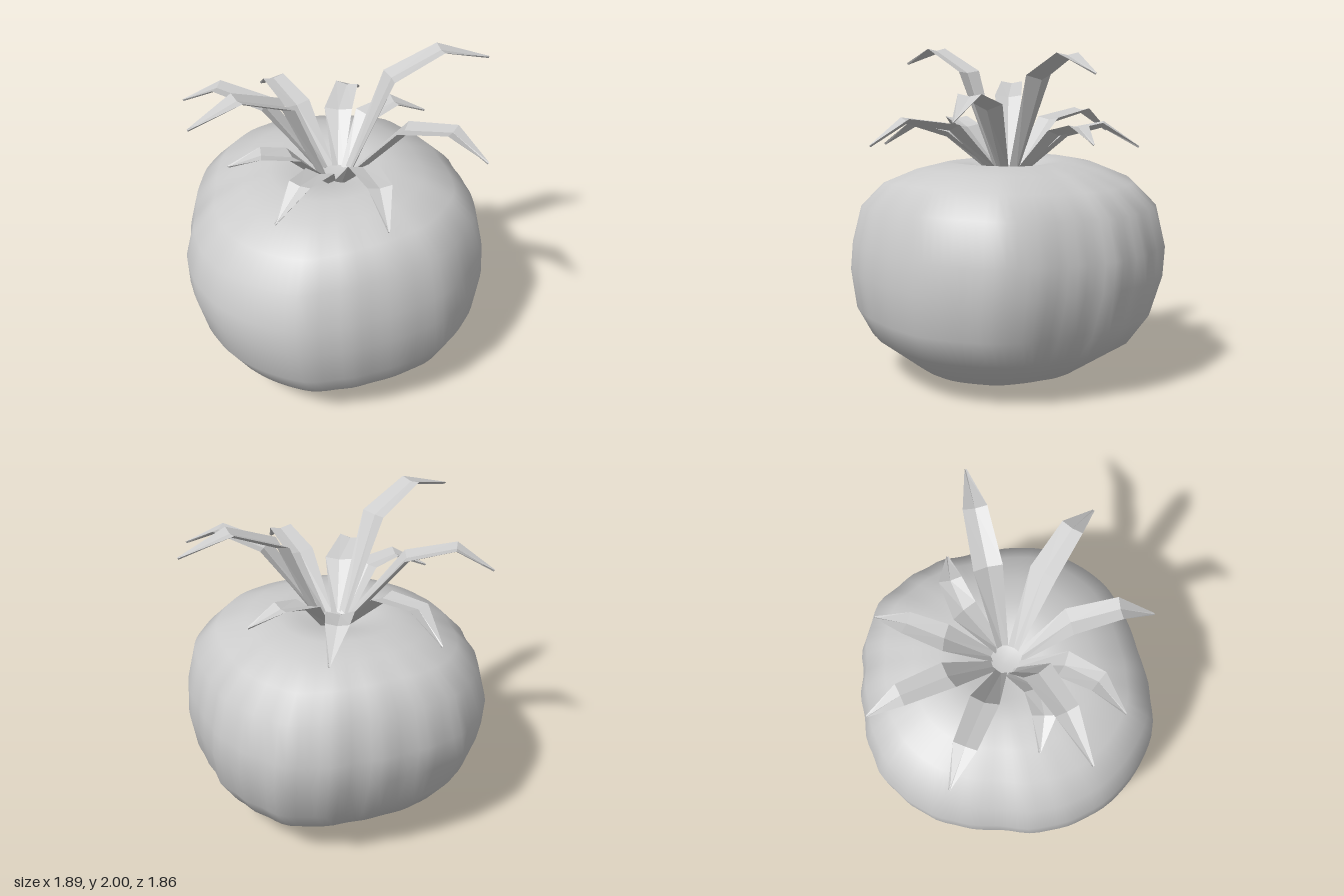
import * as THREE from 'three';
import { mergeVertices } from 'three/addons/utils/BufferGeometryUtils.js';

const material = new THREE.MeshStandardMaterial({ color: 0xcccccc, roughness: 0.8, side: THREE.DoubleSide });

// Widest radius of the fruit every 15 degrees, from +x towards +z
const girth = [
  0.925, 0.89, 0.91, 0.94, 0.93, 0.93, 0.905, 0.9, 0.93, 0.975, 0.97, 0.965,
  0.945, 0.92, 0.88, 0.9, 0.925, 0.935, 0.92, 0.885, 0.885, 0.92, 0.965, 0.935,
];

function girthAt(angle) {
  const s = (THREE.MathUtils.euclideanModulo(angle, 2 * Math.PI) / (2 * Math.PI)) * girth.length;
  const i = Math.floor(s) % girth.length;
  return THREE.MathUtils.lerp(girth[i], girth[(i + 1) % girth.length], THREE.MathUtils.smoothstep(s % 1, 0, 1));
}

// Squat fruit: a lathe with an uneven girth, furrowed on the back and left sides
function createFruit() {
  const profile = [
    [0, 0], [0.29, 0.006], [0.5, 0.075], [0.765, 0.255], [0.87, 0.42], [0.925, 0.66], [0.925, 0.83],
    [0.87, 1.065], [0.735, 1.205], [0.55, 1.285], [0.38, 1.325], [0.24, 1.31], [0.12, 1.27], [0, 1.25],
  ].map(([r, y]) => new THREE.Vector2(r, y));
  let geometry = new THREE.LatheGeometry(profile, 96);
  geometry.deleteAttribute('uv');
  geometry.deleteAttribute('normal');
  geometry = mergeVertices(geometry, 1e-4);
  const p = geometry.attributes.position;
  for (let i = 0; i < p.count; i++) {
    const x = p.getX(i), y = p.getY(i), z = p.getZ(i);
    const a = Math.atan2(z, x);
    const outer = Math.min(1, Math.hypot(x, z) / 0.7);
    const band = Math.sin(Math.PI * Math.min(1, y / 1.33)) * outer;
    const side = THREE.MathUtils.smoothstep(Math.cos(a + 0.6), -0.3, 0.5);
    const furrow = Math.sin(22 * a + Math.sin(3 * a) + 0.8 * y) + 0.5 * Math.sin(13 * a - 1.5 * y);
    const k = 1 + (girthAt(a) / 0.925 - 1) * outer + 0.008 * side * band * furrow;
    // The underside sits slightly forward; the shoulders tilt and are fuller front and back
    const low = Math.max(0, 1 - y / 0.8);
    const top = THREE.MathUtils.smoothstep(y, 0.5, 1.1);
    const lift = top * (0.035 * x - 0.025 * Math.cos(2 * a) * outer * outer);
    p.setXYZ(i, x * k, y + lift, z * k + 0.1 * low);
  }
  geometry.computeVertexNormals();
  const mesh = new THREE.Mesh(geometry, material);
  mesh.name = 'fruit';
  return mesh;
}

// Leaf: shallow channel with a keel below, along an arched path from the crown to the tip
function createLeaf(tipX, tipZ, shape, bend) {
  const centre = new THREE.Vector3(0.01, 0, 0.03);
  const tip = new THREE.Vector3(tipX, 0, tipZ);
  const dir = tip.clone().sub(centre).normalize();
  const base = centre.clone().addScaledVector(dir, 0.08);
  const side = new THREE.Vector3(-dir.z, 0, dir.x);
  const path = shape.map(([t, y], i) => {
    const point = base.clone().lerp(tip, t).addScaledVector(side, [0, 1, 0.8, 0][i] * bend);
    point.y = y;
    return point;
  });
  const halfWidths = [0.035, 0.085, 0.07, 0.006];
  const keels = [0.03, 0.045, 0.035, 0.012];
  const positions = [], index = [];
  path.forEach((point, i) => {
    const tangent = path[Math.min(i + 1, 3)].clone().sub(path[Math.max(i - 1, 0)]).normalize();
    const across = new THREE.Vector3(-tangent.z, 0, tangent.x).normalize();
    const up = tangent.clone().cross(across).negate();
    const w = halfWidths[i], d = keels[i];
    // Left edge, channel, right edge, keel
    [[-w, 0], [0, -d * 0.4], [w, 0], [0, -d]].forEach(([s, u]) => {
      positions.push(...point.clone().addScaledVector(across, s).addScaledVector(up, u).toArray());
    });
  });
  for (let i = 0; i < 3; i++) {
    for (let j = 0; j < 4; j++) {
      const a = i * 4 + j, b = i * 4 + (j + 1) % 4;
      index.push(a, b, a + 4, b, b + 4, a + 4);
    }
  }
  index.push(0, 3, 1, 1, 3, 2, 12, 13, 15, 13, 14, 15);
  // Separate corners before smoothing so the rims of the leaf stay sharp
  const smooth = new THREE.BufferGeometry();
  smooth.setAttribute('position', new THREE.Float32BufferAttribute(positions, 3));
  smooth.setIndex(index);
  const geometry = smooth.toNonIndexed();
  geometry.computeVertexNormals();
  const mesh = new THREE.Mesh(geometry, material);
  mesh.name = 'leaf';
  return mesh;
}

export function createModel() {
  const group = new THREE.Group();
  group.name = 'fruitWithLeaves';
  group.add(createFruit());

  // Side outlines of the leaves: fraction of the reach, height
  const tall = [[0, 1.28], [0.29, 1.86], [0.65, 1.995], [1, 1.895]];
  const middle = [[0, 1.28], [0.39, 1.7], [0.74, 1.775], [1, 1.64]];
  const low = [[0, 1.27], [0.37, 1.57], [0.74, 1.615], [1, 1.465]];
  const lower = [[0, 1.27], [0.37, 1.51], [0.7, 1.56], [1, 1.415]];
  const short = [[0, 1.27], [0.37, 1.53], [0.7, 1.57], [1, 1.475]];

  const crown = new THREE.Group();
  crown.name = 'leafCrown';
  [
    [0.94, 0.27, tall, -0.02], [-0.94, 0.03, tall, -0.01],
    [0.47, 0.87, middle, -0.02], [-0.63, -0.67, middle, -0.02],
    [0.02, -0.87, low, -0.03], [-0.22, 0.9, low, -0.03],
    [0.57, -0.55, lower, -0.05], [-0.66, 0.45, lower, -0.06],
    [0.69, 0, short, -0.1], [-0.64, -0.11, short, -0.1],
  ].forEach((leaf) => crown.add(createLeaf(...leaf)));
  group.add(crown);
  return group;
}
